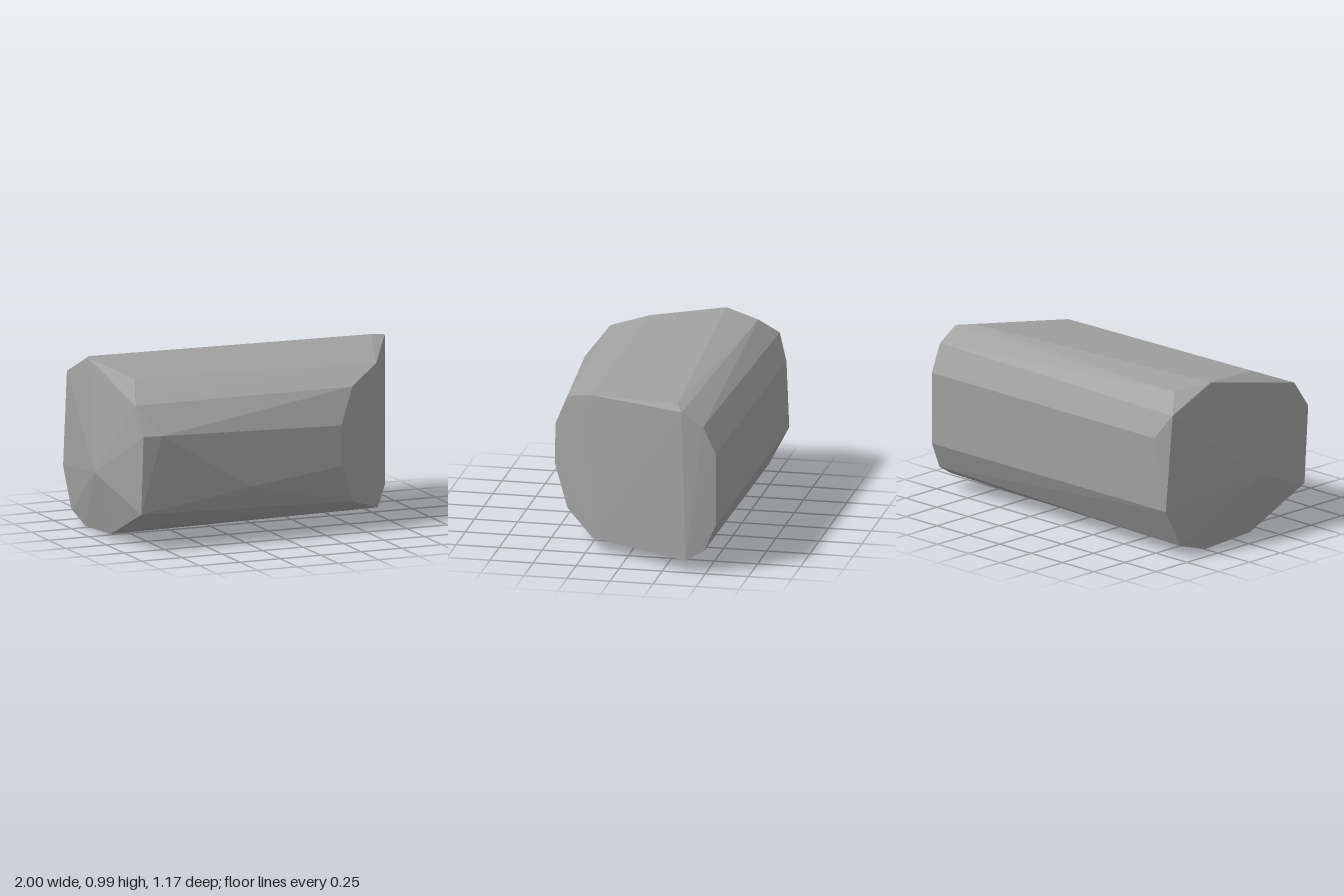
import * as THREE from 'three';
import { ConvexGeometry } from 'three/addons/geometries/ConvexGeometry.js';

export function createModel() {
  const group = new THREE.Group();
  group.name = 'rock';
  const stone = new THREE.MeshStandardMaterial({ color: 0xa0a0a0, flatShading: true });
  stone.name = 'stone grey';

  // slanted end, clockwise from the front edge
  const slantedEnd = [
    [0.34, 0.635, 0.51], [0.45, 0.835, 0.415], [0.675, 0.92, 0.237], [0.985, 0.95, -0.36],
    [0.985, 0.87, -0.485], [0.98, 0.71, -0.557], [0.98, 0.29, -0.557], [0.985, 0.135, -0.49],
    [0.997, 0.072, -0.385], [0.69, 0.078, 0.222], [0.45, 0.17, 0.418], [0.34, 0.4, 0.515],
  ];
  // blunt end rim, with its low central peak last
  const bluntEnd = [
    [-0.91, 0.68, 0.57], [-0.91, 0.84, 0.458], [-0.91, 0.99, -0.215], [-0.91, 0.86, -0.525],
    [-0.91, 0.3, -0.58], [-0.91, 0.07, -0.46], [-0.91, 0.01, -0.26], [-0.91, 0.03, 0.1],
    [-0.91, 0.225, 0.54], [-1, 0.39, 0.08],
  ];
  // chipped corners along the body
  const chips = [
    [-0.8, 0.68, 0.583], [-0.81, 0.945, 0.21], [-0.82, 0.957, -0.42], [-0.82, 0.72, -0.583],
    [-0.8, 0.11, 0.38], [-0.235, 0.335, 0.553], [0.88, 0.967, -0.31], [0.77, 0.025, -0.26],
    [-0.38, 0.003, -0.26],
  ];

  const points = [...slantedEnd, ...bluntEnd, ...chips].map((p) => new THREE.Vector3(...p));
  const body = new THREE.Mesh(new ConvexGeometry(points), stone);
  body.name = 'rockBody';
  group.add(body);
  return group;
}
